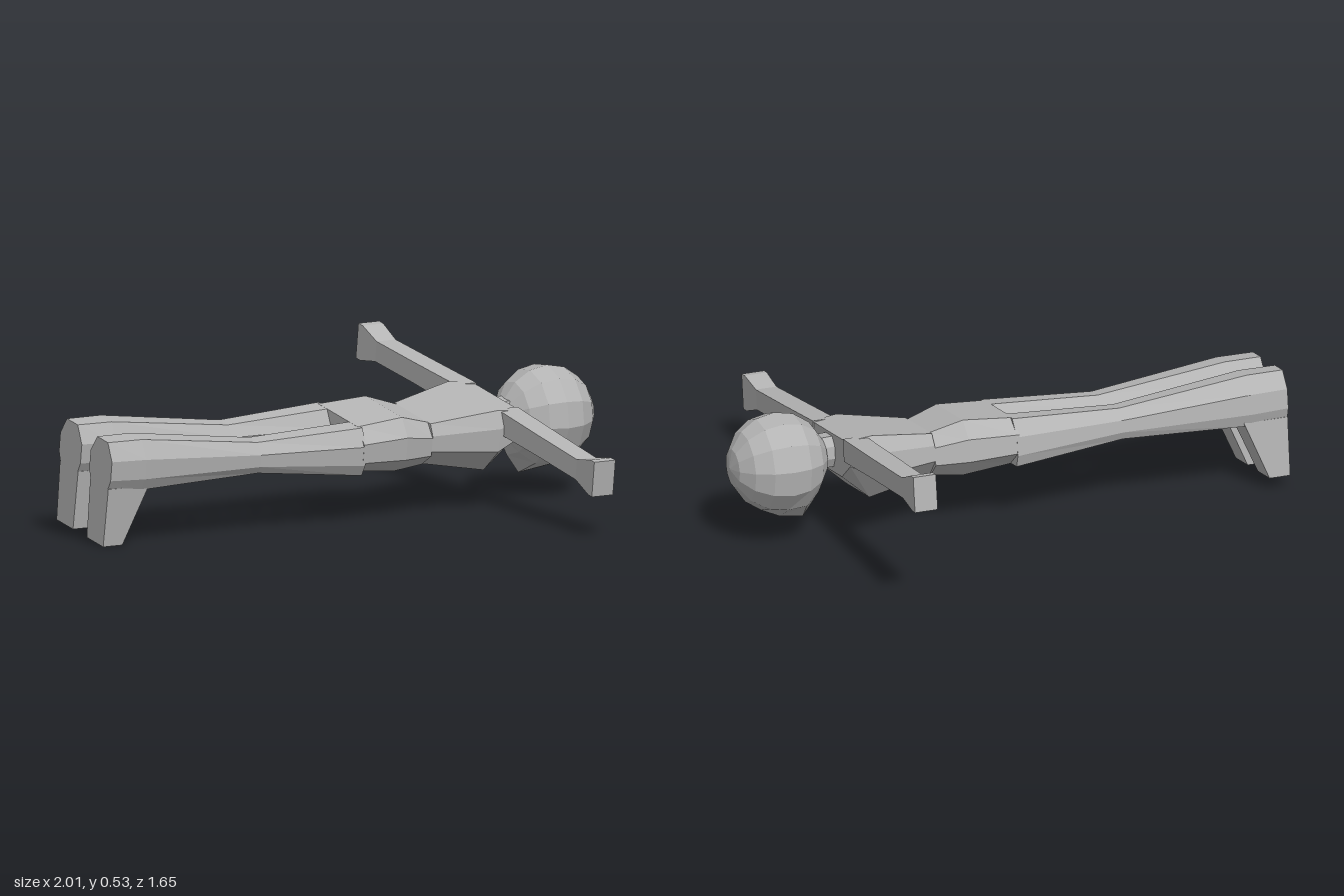
import * as THREE from 'three';

const grey = new THREE.MeshStandardMaterial({ color: 0xb4b4b4, flatShading: true });
grey.name = 'plain grey';

// Eight-sided loft along +x. Section: [x, centreZ, halfWidth, top, bottom]
// topFlat / botFlat: share of the width kept flat on the top and bottom; hi / lo: heights of the side edges (0..1)
function loft(sections, topFlat = 1, botFlat = 1, hi = 1, lo = 0) {
  const pos = [], index = [];
  for (const [x, c, h, top, bot] of sections) {
    const H = bot + (top - bot) * hi, L = bot + (top - bot) * lo;
    const ring = [[top, -topFlat], [top, topFlat], [H, 1], [L, 1], [bot, botFlat], [bot, -botFlat], [L, -1], [H, -1]];
    for (const [y, z] of ring) pos.push(x, y, c + z * h);
  }
  const last = (sections.length - 1) * 8;
  for (let i = 0; i < last; i += 8) {
    for (let j = 0; j < 8; j++) {
      const k = (j + 1) % 8;
      index.push(i + j, i + k, i + 8 + k, i + j, i + 8 + k, i + 8 + j);
    }
  }
  for (let j = 1; j < 7; j++) {
    index.push(0, j + 1, j, last, last + j, last + j + 1);
  }
  const g = new THREE.BufferGeometry();
  g.setAttribute('position', new THREE.Float32BufferAttribute(pos, 3));
  g.setIndex(index);
  const flat = g.toNonIndexed();
  flat.computeVertexNormals();
  return flat;
}

export function createModel() {
  const model = new THREE.Group();
  // Body frame: x towards the head, y towards the back, z across the shoulders
  const body = new THREE.Group();
  body.name = 'lyingFigure';
  const add = (name, geometry) => {
    const mesh = new THREE.Mesh(geometry, grey);
    mesh.name = name;
    body.add(mesh);
    return mesh;
  };

  // Pelvis and chest meet at the waist seam
  add('pelvis', loft([
    [-0.62, 0, 0.2, 0.035, -0.14],
    [-0.43, 0, 0.185, 0.05, -0.16],
    [-0.31, 0.005, 0.155, 0.015, -0.15],
  ], 0.72, 0.6, 0.7, 0.3));
  add('chest', loft([
    [-0.31, 0.005, 0.155, 0.015, -0.15],
    [-0.06, 0, 0.212, 0.055, -0.19],
    [0.04, 0, 0.205, 0.045, -0.1],
  ], 0.85, 0.55, 0.75, 0.4));
  add('neck', loft([
    [0.02, 0, 0.055, 0.035, -0.08],
    [0.13, 0, 0.05, 0.03, -0.08],
  ], 0.6, 0.6, 0.7, 0.3));

  // Faceted head with its crown along x and a pointed chin
  const headGeo = new THREE.SphereGeometry(0.185, 12, 8).rotateZ(-Math.PI / 2);
  const chin = new THREE.Vector3(-0.38, -0.92, 0).normalize();
  const p = headGeo.attributes.position, v = new THREE.Vector3();
  for (let i = 0; i < p.count; i++) {
    v.fromBufferAttribute(p, i);
    const pull = Math.max(0, v.clone().normalize().dot(chin) - 0.8) / 0.2;
    v.multiplyScalar(1 + 0.26 * pull * pull);
    p.setXYZ(i, v.x, v.y, v.z);
  }
  add('head', headGeo).position.set(0.246, -0.04, 0);

  for (const s of [-1, 1]) {
    const side = s > 0 ? 'right' : 'left';

    // Straight arm ending in a flared hand
    const arm = add(side + 'Arm', loft([
      [0.15, 0, 0.043, 0.05, -0.035],
      [0.45, 0, 0.042, 0.042, -0.035],
      [0.73, 0, 0.04, 0.036, -0.04],
      [0.83, 0, 0.043, 0.066, -0.066],
      [0.86, 0, 0.044, 0.066, -0.066],
    ]));
    arm.rotation.y = -s * Math.PI / 2;

    // Leg, narrowest at the knee
    add(side + 'Leg', loft([
      [-1.66, s * 0.11 - 0.017, 0.078, 0.07, -0.11],
      [-1.52, s * 0.11 - 0.015, 0.083, 0.07, -0.115],
      [-1.03, s * 0.108 - 0.006, 0.064, 0.012, -0.1],
      [-0.61, s * 0.12, 0.08, 0.035, -0.14],
    ], 0.5, 0.75, 0.65, 0.25));

    // Foot hanging down, tapering to the toes
    const foot = add(side + 'Foot', loft([
      [-0.32, s * 0.11 - 0.017, 0.06, 1.66, 1.58],
      [-0.1, s * 0.11 - 0.017, 0.066, 1.66, 1.49],
    ]));
    foot.rotation.z = Math.PI / 2;
  }

  // Turn and roll the whole figure, then rest it on the ground and centre it
  const across = new THREE.Vector3(0.415, -0.141, 0.899).normalize();
  const along = new THREE.Vector3(0.909, 0, -0.418).normalize();
  const up = new THREE.Vector3().crossVectors(across, along).normalize();
  along.crossVectors(up, across);
  body.quaternion.setFromRotationMatrix(new THREE.Matrix4().makeBasis(along, up, across));
  model.add(body);
  model.updateMatrixWorld(true);
  const box = new THREE.Box3().setFromObject(model, true);
  const centre = box.getCenter(new THREE.Vector3());
  body.position.set(-centre.x, -box.min.y, -centre.z);
  return model;
}
